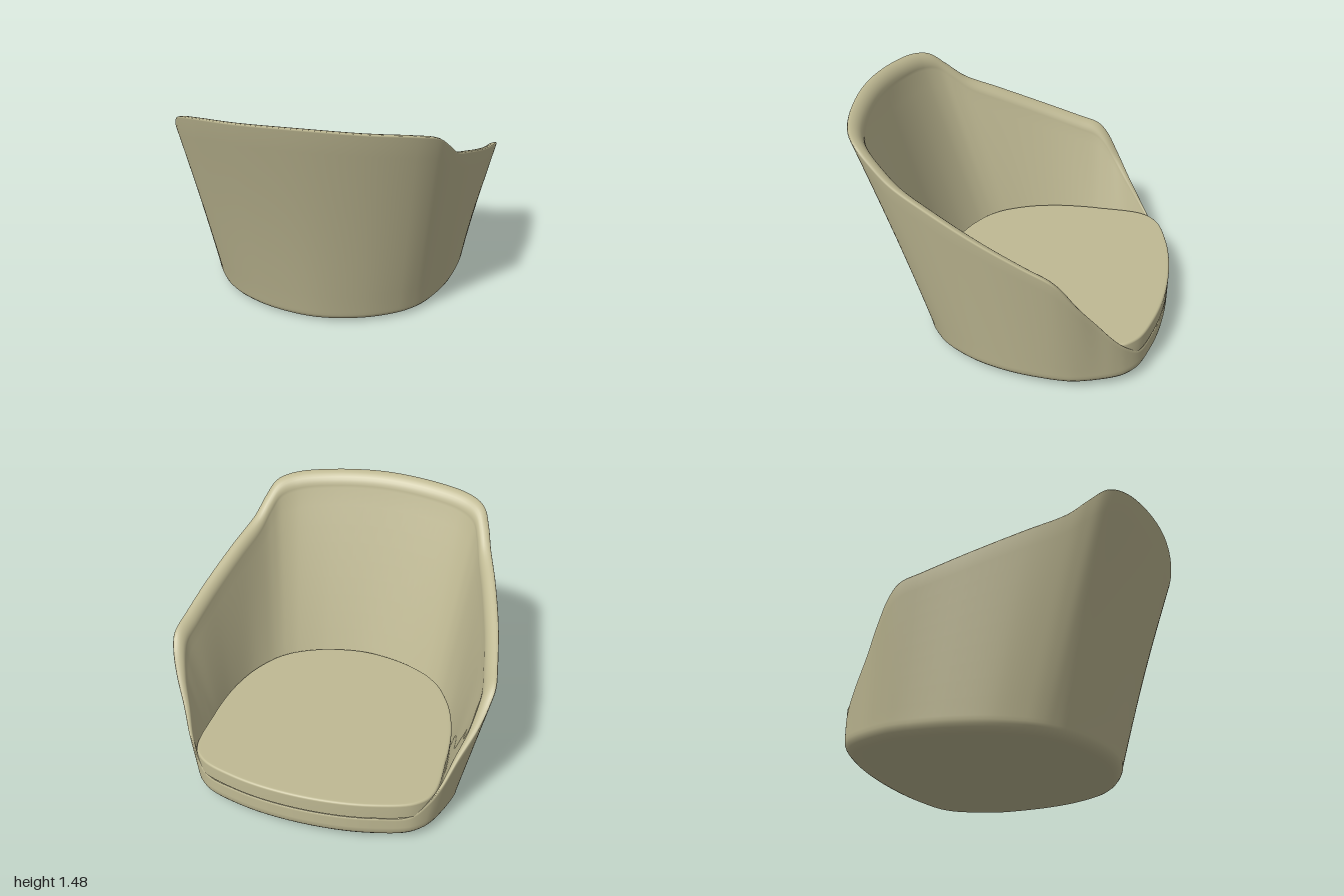
import * as THREE from 'three';

// Half outline from back centre to front centre: base x, z | rim x, y, z
const HALF = [
  [0, 0.6, 0, 1.475, 0.968],
  [0.3, 0.55, 0.35, 1.462, 0.935],
  [0.5, 0.46, 0.6, 1.44, 0.86],
  [0.58, 0.4, 0.705, 1.405, 0.785],
  [0.63, 0.35, 0.755, 1.325, 0.69],
  [0.68, 0.28, 0.795, 1.23, 0.57],
  [0.765, 0.11, 0.865, 1.135, 0.35],
  [0.825, -0.12, 0.94, 1.015, 0.05],
  [0.845, -0.34, 0.985, 0.915, -0.22],
  [0.845, -0.42, 1.0, 0.865, -0.355],
  [0.84, -0.48, 0.985, 0.8, -0.425],
  [0.82, -0.56, 0.94, 0.67, -0.51],
  [0.79, -0.645, 0.86, 0.51, -0.615],
  [0.755, -0.725, 0.79, 0.36, -0.718],
  [0.715, -0.785, 0.73, 0.275, -0.783],
  [0.635, -0.85, 0.635, 0.197, -0.85],
  [0.45, -0.912, 0.45, 0.194, -0.912],
  [0.25, -0.95, 0.25, 0.194, -0.95],
  [0, -0.965, 0, 0.194, -0.965],
];
const LOOP = [...HALF, ...HALF.slice(1, -1).reverse().map(([a, b, c, d, e]) => [-a, b, -c, d, e])];
const baseCurve = new THREE.CatmullRomCurve3(LOOP.map(p => new THREE.Vector3(p[0], 0, p[1])), true);
const rimCurve = new THREE.CatmullRomCurve3(LOOP.map(p => new THREE.Vector3(p[2], p[3], p[4])), true);
const CENTRE = new THREE.Vector3(0, 0, -0.4);
const COLUMNS = 216;

// Skin a closed ring of cross-sections, each a list of points
function loft(section) {
  const pos = [], index = [];
  let rows = 0;
  for (let i = 0; i < COLUMNS; i++) {
    const pts = section(i / COLUMNS);
    rows = pts.length;
    pts.forEach(p => pos.push(p.x, p.y, p.z));
  }
  for (let i = 0; i < COLUMNS; i++) {
    const a = i * rows, b = ((i + 1) % COLUMNS) * rows;
    for (let j = 0; j < rows - 1; j++) {
      index.push(a + j, b + j, b + j + 1, a + j, b + j + 1, a + j + 1);
    }
  }
  const g = new THREE.BufferGeometry();
  g.setAttribute('position', new THREE.Float32BufferAttribute(pos, 3));
  g.setIndex(index);
  g.computeVertexNormals();
  return g;
}

// Point moved along d by k, at height y
const shifted = (p, d, k, y) => new THREE.Vector3(p.x + d.x * k, y, p.z + d.z * k);

// Inner outline as a share of the base outline; the wall thins towards the front
const innerScale = (base, front) =>
  THREE.MathUtils.lerp(0.9, front, THREE.MathUtils.smoothstep(-base.z, 0.42, 0.8));

// Underside, rounded foot, flared wall, rim rolling inwards, inner wall
function shellSection(u) {
  const base = baseCurve.getPoint(u), rim = rimCurve.getPoint(u);
  const inward = CENTRE.clone().sub(base).normalize();
  const floor = p => 0.012 - 0.02 * p.z;
  const r = 0.08, pts = [];
  for (const s of [0, 0.5, 0.8]) {
    const p = CENTRE.clone().lerp(base, s);
    p.y = floor(p);
    pts.push(p);
  }
  for (let k = 0; k <= 6; k++) {
    const a = (k / 6) * Math.PI / 2;
    pts.push(shifted(base, inward, r * (1 - Math.sin(a)), floor(base) + r * (1 - Math.cos(a))));
  }
  const low = pts[pts.length - 1];
  const top = shifted(rim, inward, 0, rim.y - 0.008);
  const bow = 0.012 * Math.max(0, base.z) / 0.6;
  for (let k = 1; k <= 10; k++) {
    const t = k / 10, p = low.clone().lerp(top, t);
    p.z -= bow * Math.sin(Math.PI * t);
    pts.push(p);
  }
  const innerLow = CENTRE.clone().lerp(base, innerScale(base, 0.985));
  const thickness = innerLow.distanceTo(base) * 0.9;
  for (let k = 0; k <= 8; k++) {
    const a = (k / 8) * Math.PI / 2;
    const inset = 0.004 + thickness * Math.sin(a);
    pts.push(shifted(rim, inward, inset, rim.y - 1.1 * thickness * (1 - Math.cos(a))));
  }
  const innerTop = pts[pts.length - 1];
  innerLow.y = Math.min(0.2, rim.y - 0.06);
  for (let k = 1; k <= 10; k++) pts.push(innerTop.clone().lerp(innerLow, k / 10));
  return pts;
}

// Flat pad that fills the shell and reaches its open edge
function cushionSection(u) {
  const base = baseCurve.getPoint(u);
  const edge = CENTRE.clone().lerp(base, innerScale(base, 1));
  const inward = CENTRE.clone().sub(edge).normalize();
  const y0 = 0.194, y1 = 0.305, r = 0.014;
  const pts = [shifted(CENTRE, inward, 0, y0), shifted(edge, inward, 0.06, y0)];
  for (let k = 0; k <= 4; k++) {
    const a = (k / 4) * Math.PI / 2;
    pts.push(shifted(edge, inward, r * (1 - Math.sin(a)), y0 + r * (1 - Math.cos(a))));
  }
  for (let k = 0; k <= 4; k++) {
    const a = (k / 4) * Math.PI / 2;
    pts.push(shifted(edge, inward, r * (1 - Math.cos(a)), y1 - r * (1 - Math.sin(a))));
  }
  pts.push(shifted(edge, inward, 0.03, y1), shifted(edge, inward, 0.1, y1));
  pts.push(shifted(CENTRE, inward, 0, y1));
  return pts;
}

export function createModel() {
  const group = new THREE.Group();
  group.name = 'tubSeat';
  const material = new THREE.MeshStandardMaterial({ color: 0xbfb993, side: THREE.DoubleSide });
  for (const [name, section] of [['shell', shellSection], ['seatCushion', cushionSection]]) {
    const mesh = new THREE.Mesh(loft(section), material);
    mesh.name = name;
    group.add(mesh);
  }
  return group;
}
